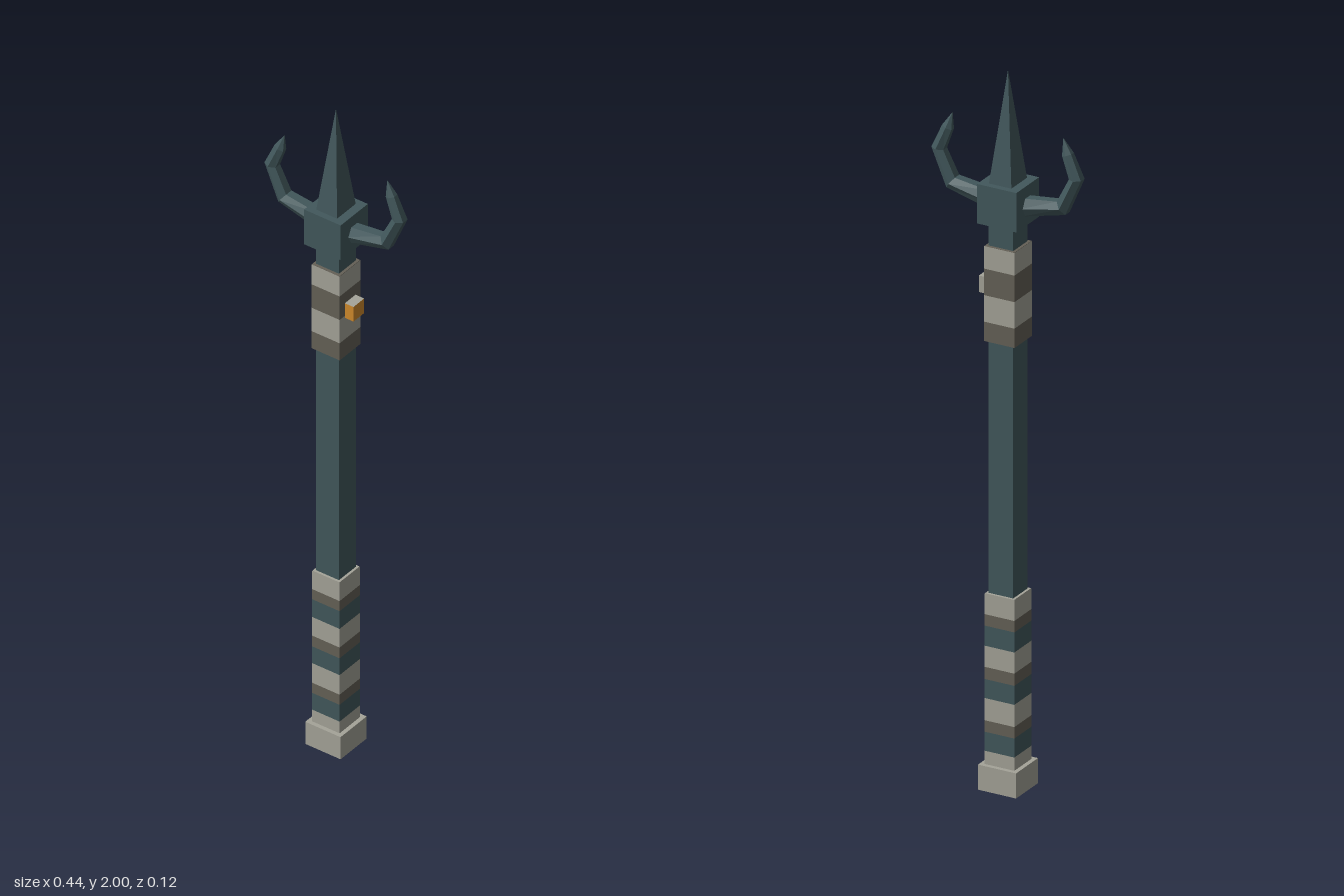
import * as THREE from 'three';

const flat = (name, color) => {
  const m = new THREE.MeshStandardMaterial({ color });
  m.name = name;
  m.flatShading = true;
  return m;
};

export function createModel() {
  const steel = flat('dark teal steel', 0x42585c);
  const bone = flat('pale wrap', 0xa5a499);
  const leather = flat('dark wrap', 0x656157);
  const amber = flat('amber', 0xd08a2c);
  const model = new THREE.Group();
  model.name = 'trident';

  const add = (name, geometry, material, parent = model) => {
    const mesh = new THREE.Mesh(geometry, material);
    mesh.name = name;
    parent.add(mesh);
    return mesh;
  };
  // Square bar between two heights
  const bar = (name, half, y0, y1, material, parent) =>
    add(name, new THREE.BoxGeometry(half * 2, y1 - y0, half * 2).translate(0, (y0 + y1) / 2, 0), material, parent);

  bar('shaft', 0.036, 0.04, 1.6, steel);
  bar('buttCap', 0.056, 0, 0.07, bone);
  bar('headBlock', 0.058, 1.58, 1.69, steel);

  // Wraps: a core closing the ends, and open square sleeves for the stripes
  const wrap = (name, half, edges, materials) => {
    const group = new THREE.Group();
    group.name = name;
    model.add(group);
    bar('wrapCore', half - 0.001, edges[0], edges[edges.length - 1], materials[0], group);
    materials.forEach((material, i) => {
      const h = edges[i + 1] - edges[i];
      const r = half * Math.SQRT2;
      add('wrapBand', new THREE.CylinderGeometry(r, r, h, 4, 1, true)
        .rotateY(Math.PI / 4).translate(0, edges[i] + h / 2, 0), material, group);
    });
  };
  wrap('lowerWrap', 0.044,
    [0.07, 0.107, 0.16, 0.192, 0.254, 0.307, 0.341, 0.4, 0.456, 0.488, 0.546],
    [bone, steel, leather, bone, steel, leather, bone, steel, leather, bone]);
  wrap('upperWrap', 0.045, [1.25, 1.304, 1.378, 1.452, 1.515], [leather, bone, leather, bone]);

  // Stud on the left side of the upper wrap
  add('stud', new THREE.BoxGeometry(0.035, 0.046, 0.046).translate(0.055, 1.395, 0),
    [amber, amber, bone, amber, amber, bone]);

  // Central spike, a slim pyramid
  add('spike', new THREE.ConeGeometry(Math.SQRT2, 0.31, 4).rotateY(Math.PI / 4)
    .scale(0.033, 1, 0.04).translate(0, 1.845, 0), steel);

  // Curved prong: hexagonal sections [inner x, inner y, outer x, outer y, half depth]
  const sections = [
    [0.05, 1.656, 0.05, 1.606, 0.026],
    [0.15, 1.669, 0.175, 1.637, 0.023],
    [0.185, 1.738, 0.22, 1.74, 0.02],
    [0.163, 1.797, 0.19, 1.807, 0.014],
    [0.163, 1.844, 0.164, 1.844, 0.001],
  ];
  const ring = [[0, 0.5], [0.5, 1], [1, 0.5], [1, -0.5], [0.5, -1], [0, -0.5]];
  const points = [];
  const index = [];
  sections.forEach(([ix, iy, ox, oy, d], s) => ring.forEach(([t, z], j) => {
    points.push(ix + (ox - ix) * t, iy + (oy - iy) * t, z * d);
    if (s === sections.length - 1) return;
    const a = s * 6 + j;
    const b = s * 6 + (j + 1) % 6;
    index.push(a, b, a + 6, b, b + 6, a + 6);
  }));
  const indexed = new THREE.BufferGeometry();
  indexed.setAttribute('position', new THREE.Float32BufferAttribute(points, 3));
  indexed.setIndex(index);
  const prong = indexed.toNonIndexed();
  prong.computeVertexNormals();
  add('leftProng', prong, steel);
  add('rightProng', prong, steel).rotation.y = Math.PI;

  return model;
}
